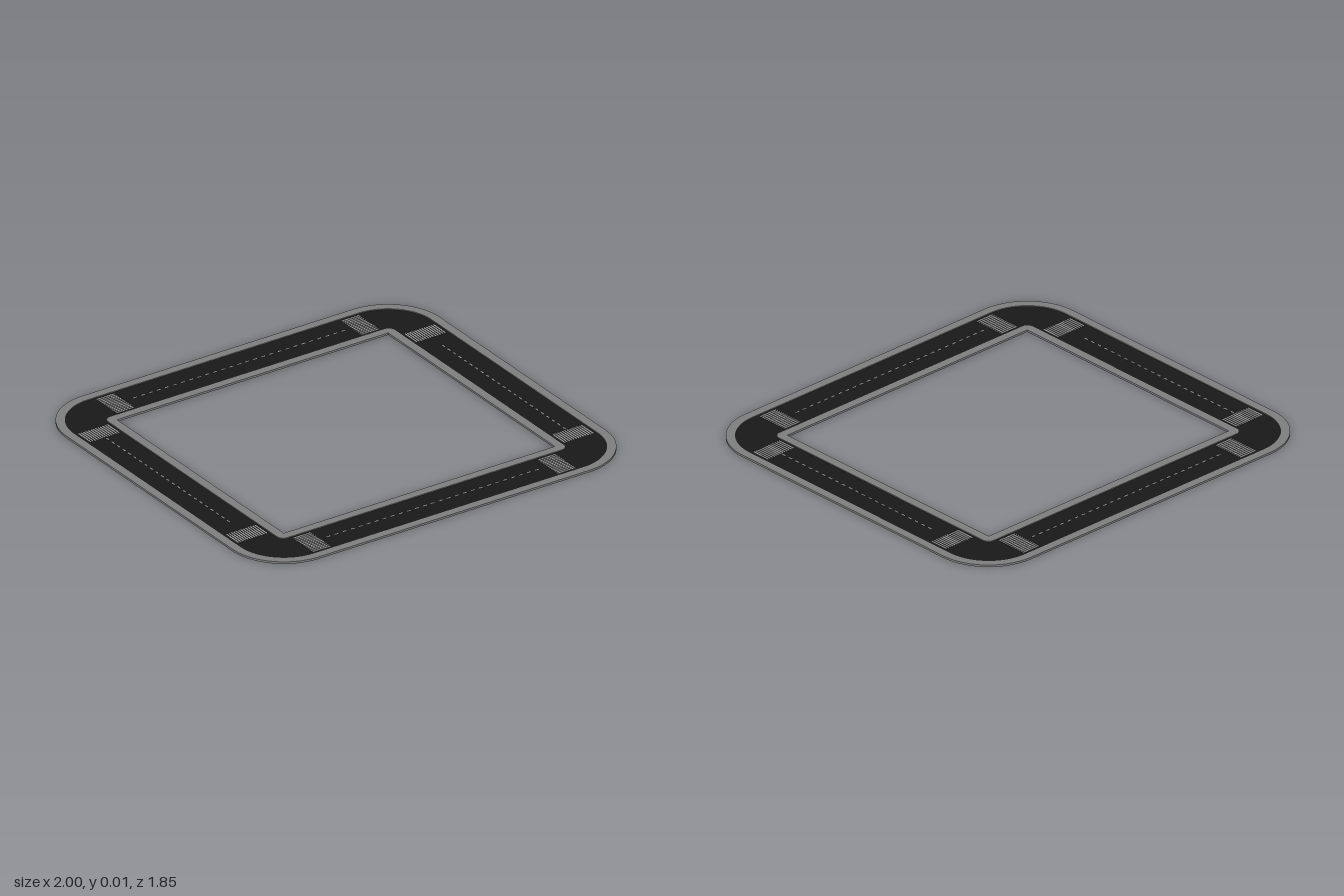
import * as THREE from 'three';

const paint = (color) => new THREE.MeshStandardMaterial({ color, roughness: 0.9 });
const asphalt = paint(0x191919);
const kerbGrey = paint(0x808080);
const lineGrey = paint(0xaaaaaa);

const ROAD_TOP = 0.006;
const KERB_TOP = 0.01;
const LINE_TOP = 0.0075;

// Rounded rectangle with half sizes x, z and corner radius r
function outline(Type, x, z, r) {
  const p = new Type();
  p.moveTo(x, -z + r);
  p.lineTo(x, z - r);
  p.absarc(x - r, z - r, r, 0, Math.PI / 2);
  p.absarc(-x + r, z - r, r, Math.PI / 2, Math.PI);
  p.absarc(-x + r, -z + r, r, Math.PI, Math.PI * 1.5);
  p.absarc(x - r, -z + r, r, Math.PI * 1.5, Math.PI * 2);
  return p;
}

// Flat ring between two rounded rectangles
function ring(name, outer, inner, height, material) {
  const shape = outline(THREE.Shape, ...outer);
  shape.holes.push(outline(THREE.Path, ...inner));
  const geo = new THREE.ExtrudeGeometry(shape, { depth: height, bevelEnabled: false, curveSegments: 16 });
  geo.rotateX(-Math.PI / 2);
  const mesh = new THREE.Mesh(geo, material);
  mesh.name = name;
  return mesh;
}

// Thin painted bar lying on the road
function bar(name, x, z, sx, sz) {
  const h = LINE_TOP - ROAD_TOP + 0.001;
  const mesh = new THREE.Mesh(new THREE.BoxGeometry(sx, h, sz), lineGrey);
  mesh.name = name;
  mesh.position.set(x, LINE_TOP - h / 2, z);
  return mesh;
}

// Zebra crossing: bars run along the road and are stacked across it
function crossing(x, z, alongX) {
  const g = new THREE.Group();
  g.name = 'crossing';
  const count = 13, span = 0.165, pitch = span / count;
  for (let i = 0; i < count; i++) {
    const o = (i + 0.5) * pitch - span / 2;
    g.add(alongX ? bar('stripe', 0, o, 0.094, pitch * 0.55) : bar('stripe', o, 0, pitch * 0.55, 0.094));
  }
  g.position.set(x, 0, z);
  return g;
}

// Dashed centre line from a to b at a fixed offset
function centreLine(offset, a, b, alongX) {
  const g = new THREE.Group();
  g.name = 'centreLine';
  const pitch = 0.043, dash = 0.02;
  for (let t = a + dash / 2; t < b; t += pitch) {
    g.add(alongX ? bar('dash', t, offset, dash, 0.006) : bar('dash', offset, t, 0.006, dash));
  }
  return g;
}

export function createModel() {
  const model = new THREE.Group();
  model.name = 'roadLoop';

  // Road surface and the two raised kerbs
  const roadOuter = [0.957, 0.882, 0.232];
  const roadInner = [0.77, 0.695, 0.035];
  model.add(ring('road', roadOuter, roadInner, ROAD_TOP, asphalt));
  model.add(ring('outerKerb', [1, 0.925, 0.275], roadOuter, KERB_TOP, kerbGrey));
  model.add(ring('innerKerb', roadInner, [0.727, 0.652, 0.002], KERB_TOP, kerbGrey));

  // Markings for the back and right-hand roads, repeated by a half turn
  for (let i = 0; i < 2; i++) {
    const half = new THREE.Group();
    half.name = i ? 'frontMarkings' : 'backMarkings';
    half.add(
      crossing(-0.643, -0.788, true),
      crossing(0.67, -0.788, true),
      centreLine(-0.785, -0.55, 0.62, true),
      crossing(-0.863, -0.595, false),
      crossing(-0.863, 0.56, false),
      centreLine(-0.862, -0.54, 0.44, false)
    );
    half.rotation.y = i * Math.PI;
    model.add(half);
  }
  return model;
}
